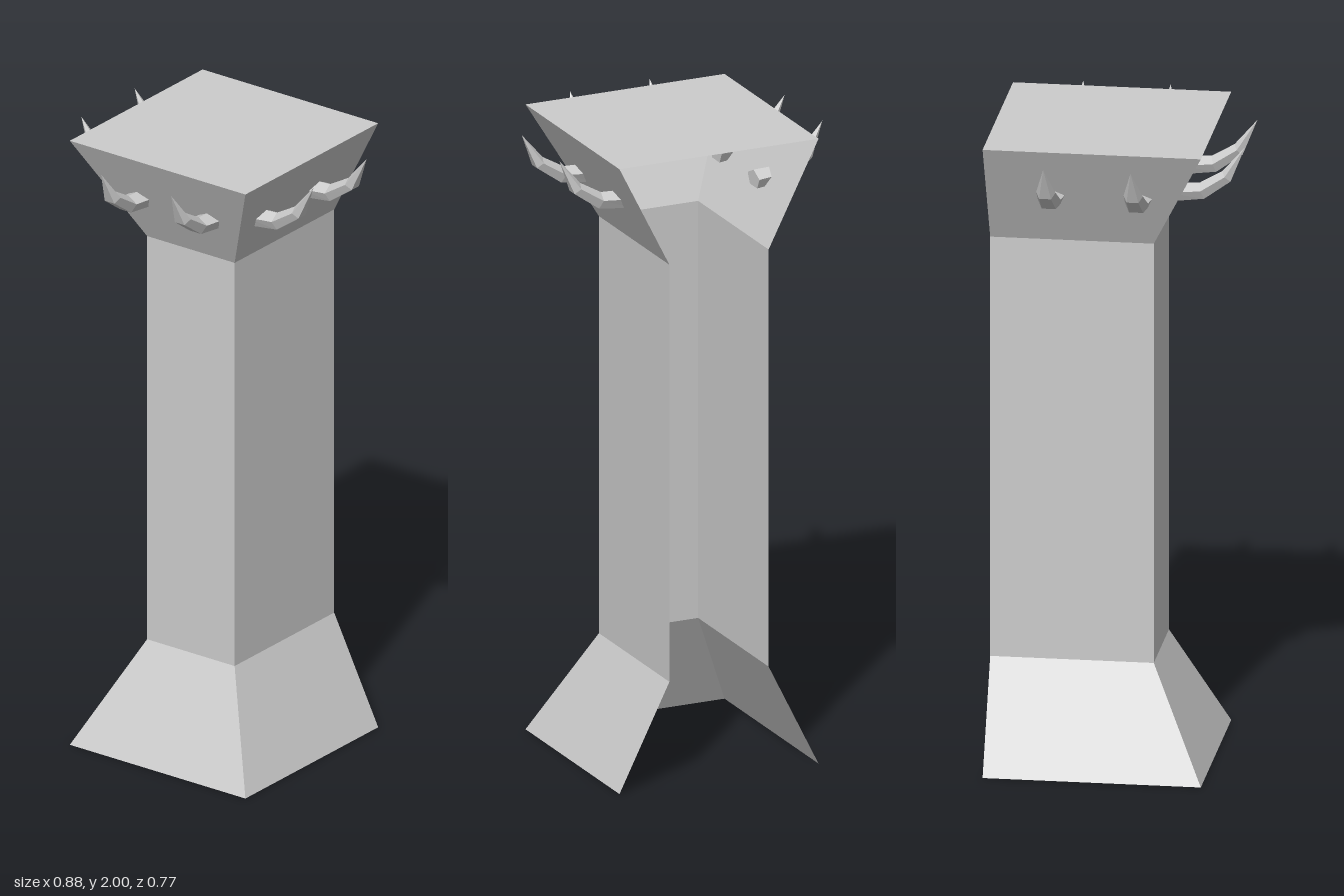
import * as THREE from 'three';

const BACK = -0.39;
const AXIS_Z = -0.055; // centre of the square footprint
const grey = new THREE.MeshStandardMaterial({ color: 0xcccccc, flatShading: true, side: THREE.DoubleSide });

function flatMesh(name, points, index) {
  let geo = new THREE.BufferGeometry();
  geo.setAttribute('position', new THREE.Float32BufferAttribute(points.flat(), 3));
  geo.setIndex(index);
  geo = geo.toNonIndexed();
  geo.computeVertexNormals();
  const mesh = new THREE.Mesh(geo, grey);
  mesh.name = name;
  return mesh;
}

// Three-sided wall section, open at the back, between two levels {y, half, front}
function wallSection(name, lower, upper) {
  const ring = ({ y, half, front }) =>
    [[half, y, BACK], [half, y, front], [-half, y, front], [-half, y, BACK]];
  const index = [];
  for (let i = 0; i < 3; i++) index.push(i, i + 4, i + 1, i + 1, i + 4, i + 5);
  return flatMesh(name, [...ring(lower), ...ring(upper)], index);
}

// Curved five-sided claw pointing along +z and bending up to a tip
function claw(name) {
  const rings = [ // outward, height, half width, half thickness, tilt
    [0.21, 1.828, 0.044, 0.029, 0.0],
    [0.31, 1.836, 0.037, 0.026, 0.35],
    [0.385, 1.885, 0.031, 0.021, 0.8],
  ];
  const sides = 5, points = [], index = [];
  for (const [out, y, w, h, tilt] of rings) {
    for (let i = 0; i < sides; i++) {
      const a = (i / sides) * Math.PI * 2;
      const n = h * Math.cos(a);
      points.push([-w * Math.sin(a), y + n * Math.cos(tilt), out - n * Math.sin(tilt)]);
    }
  }
  const tip = points.push([0, 1.98, 0.44]) - 1;
  const last = (rings.length - 1) * sides;
  for (let i = 0; i < sides; i++) {
    const j = (i + 1) % sides;
    for (let r = 0; r < last; r += sides) {
      index.push(r + i, r + j, r + sides + j, r + i, r + sides + j, r + sides + i);
    }
    index.push(last + i, last + j, tip);
    if (i > 0 && i < sides - 1) index.push(0, i + 1, i); // root end
  }
  return flatMesh(name, points, index);
}

export function createModel() {
  const model = new THREE.Group();
  model.name = 'clawedPillar';

  // Flared base, shaft and flared capital
  const wide = { half: 0.333, front: 0.277 }, narrow = { half: 0.166, front: 0.11 };
  model.add(
    wallSection('base', { y: 0, ...wide }, { y: 0.335, ...narrow }),
    wallSection('shaft', { y: 0.335, ...narrow }, { y: 1.67, ...narrow }),
    wallSection('capital', { y: 1.67, ...narrow }, { y: 2, ...wide }),
  );

  // Flat top slab
  const top = new THREE.Mesh(new THREE.PlaneGeometry(0.666, 0.667), grey);
  top.name = 'top';
  top.rotation.x = -Math.PI / 2;
  top.position.set(0, 2, (BACK + 0.277) / 2);
  model.add(top);

  // Two claws on the front and on each side
  for (const s of [-1, 1]) {
    const front = claw('frontClaw');
    front.position.set(s * 0.133, 0, AXIS_Z);
    model.add(front);
    for (const z of [-0.19, 0.077]) {
      const side = claw(s > 0 ? 'leftClaw' : 'rightClaw');
      side.rotation.y = s * Math.PI / 2;
      side.position.z = z;
      model.add(side);
    }
  }
  return model;
}
